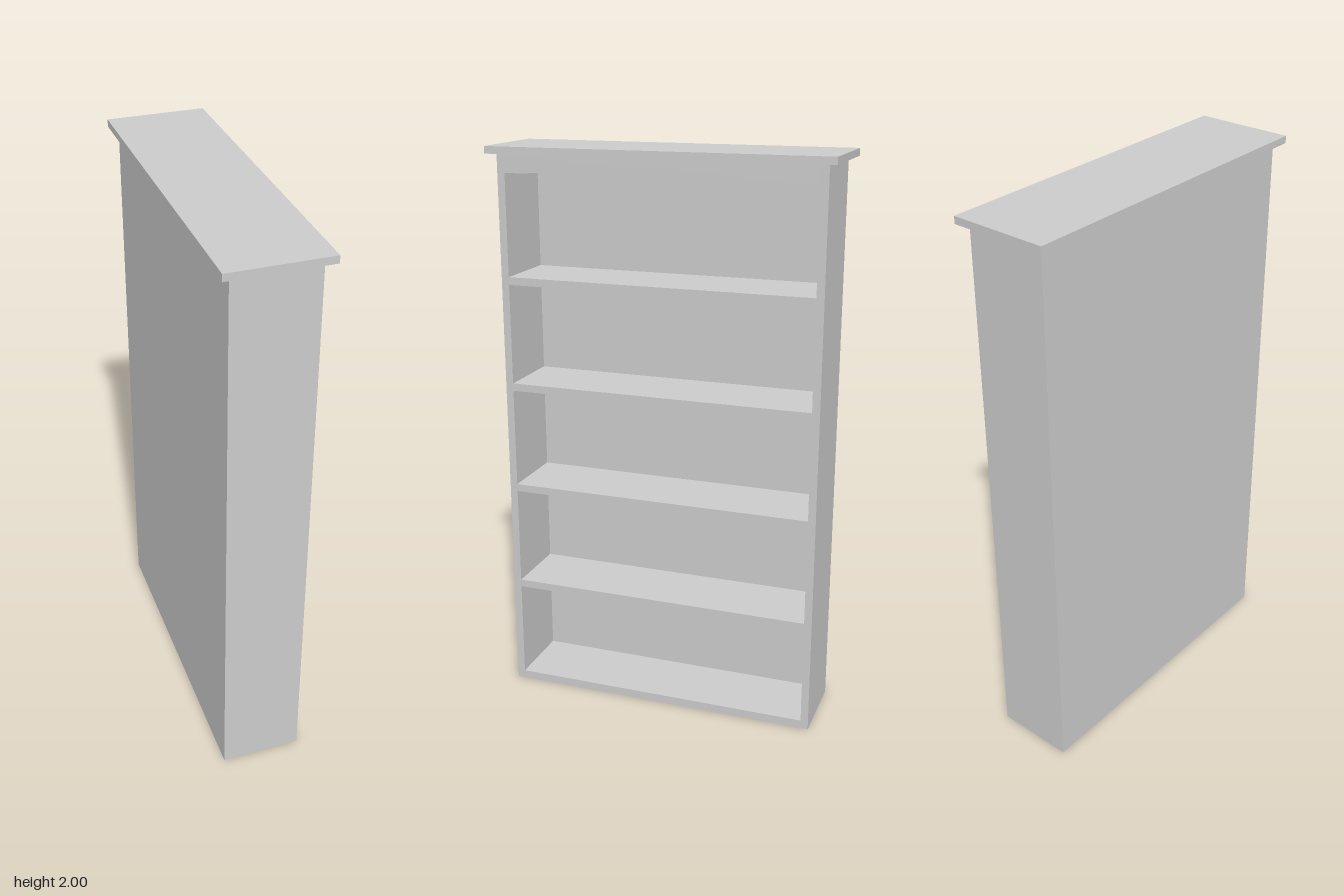
import * as THREE from 'three';

const DEPTH = 0.283, HALF_W = 0.57, BODY_H = 1.975, BOARD = 0.027;
const FRONT = DEPTH / 2; // the open side faces +x
const INNER = HALF_W - BOARD;

export function createModel() {
  const bookcase = new THREE.Group();
  bookcase.name = 'bookcase';
  const material = new THREE.MeshStandardMaterial({ color: 0xcccccc, flatShading: true });

  const add = (name, geometry, x, y, z) => {
    const mesh = new THREE.Mesh(geometry, material);
    mesh.name = name;
    mesh.position.set(x, y, z);
    bookcase.add(mesh);
    return mesh;
  };
  const board = (name, w, h, d, x, y, z) => add(name, new THREE.BoxGeometry(w, h, d), x, y, z);

  // Overhanging top slab
  board('topSlab', 0.343, 2 - BODY_H, 1.2, 0, (2 + BODY_H) / 2, 0);

  // Side panels
  for (const s of [1, -1]) {
    board(s > 0 ? 'leftSide' : 'rightSide', DEPTH, BODY_H, BOARD, 0, BODY_H / 2, s * (HALF_W - BOARD / 2));
  }

  // Back panel
  board('backPanel', BOARD, BODY_H, INNER * 2, -FRONT + BOARD / 2, BODY_H / 2, 0);

  // Bottom board and four shelves, flush with the front edges of the sides
  for (let i = 0; i < 5; i++) {
    const top = 0.03 + i * 0.3815;
    const h = i === 0 ? top : BOARD;
    board(i === 0 ? 'bottomBoard' : 'shelf' + i, DEPTH - BOARD, h, INNER * 2, BOARD / 2, top - h / 2, 0);
  }

  // Arched rail under the top, with a gentle S-shaped curve on each half
  const rail = new THREE.Shape();
  rail.moveTo(-INNER, BODY_H);
  const steps = 16;
  for (let i = 0; i <= steps; i++) {
    const t = (i / steps) * 2 - 1;
    rail.lineTo(t * INNER, 1.91 + 0.0175 * (1 + Math.cos(Math.PI * t)));
  }
  rail.lineTo(INNER, BODY_H);
  const railGeometry = new THREE.ExtrudeGeometry(rail, { depth: BOARD, bevelEnabled: false });
  railGeometry.rotateY(Math.PI / 2);
  add('archedRail', railGeometry, FRONT - BOARD, 0, 0);

  return bookcase;
}
